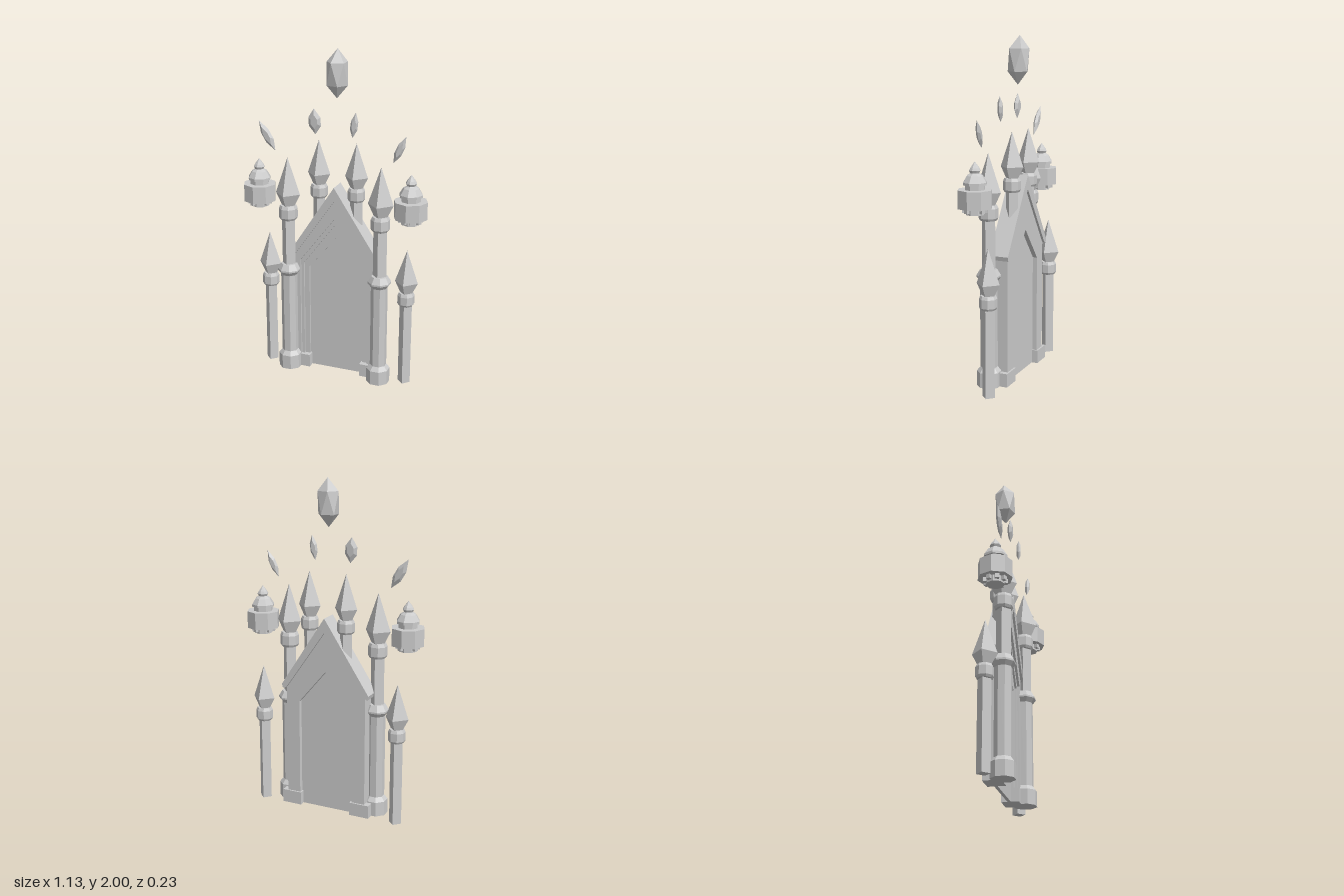
import * as THREE from 'three';
import { ConvexGeometry } from 'three/addons/geometries/ConvexGeometry.js';

const material = new THREE.MeshStandardMaterial({ color: 0xcccccc, flatShading: true });

function add(parent, name, geometry, x = 0, y = 0, z = 0) {
  const mesh = new THREE.Mesh(geometry, material);
  mesh.name = name;
  mesh.position.set(x, y, z);
  parent.add(mesh);
  return mesh;
}

// Faceted turned solid; profile is [radius, y] from bottom to top
function turned(profile, sides, flatsForward = false) {
  const k = flatsForward ? 1 / Math.cos(Math.PI / sides) : 1;
  const points = profile.map(([r, y]) => new THREE.Vector2(r * k, y));
  return new THREE.LatheGeometry(points, sides, flatsForward ? Math.PI / sides : 0);
}

function extrude(points, z0, z1) {
  const shape = new THREE.Shape(points.map(([x, y]) => new THREE.Vector2(x, y)));
  const geometry = new THREE.ExtrudeGeometry(shape, { depth: z1 - z0, bevelEnabled: false });
  return geometry.translate(0, 0, z0);
}

// Pointed arch outline from foot to foot: half width, spring height, apex height
const FLOOR = 0.01;
const arch = ([w, spring, apex]) => [[w, FLOOR], [w, spring], [0, apex], [-w, spring], [-w, FLOOR]];
const archRing = (outer, inner, z0, z1) => extrude([...arch(outer), ...arch(inner).reverse()], z0, z1);

// Square post with a beveled cap and a spear-like spike
function spikedPost(name, x, z, tip, bottom, k) {
  const post = new THREE.Group();
  post.name = name;
  post.position.set(x, 0, z);
  const at = (d) => tip - d * k;
  add(post, 'spike', turned([[0, at(0.265)], [0.038 * k, at(0.265)], [0.07 * k, at(0.2)], [0, tip]], 4));
  add(post, 'cap', turned([[0, at(0.345)], [0.04 * k, at(0.345)], [0.047 * k, at(0.332)],
    [0.047 * k, at(0.282)], [0.04 * k, at(0.265)], [0, at(0.265)]], 8, true));
  add(post, 'shaft', turned([[0, bottom], [0.038 * k, bottom], [0.038 * k, at(0.34)], [0, at(0.34)]], 4));
  return post;
}

// Floating octagonal lantern
function lantern(x) {
  const group = new THREE.Group();
  group.name = 'lantern';
  group.position.set(x, 0, 0.015);
  add(group, 'lanternBody', turned([[0, 1.08], [0.098, 1.08], [0.098, 1.182], [0, 1.182]], 8));
  add(group, 'lanternBottom', turned([[0, 1.045], [0.053, 1.045], [0.053, 1.085], [0, 1.085]], 8));
  for (let i = 0; i < 8; i++) {
    const a = (i + 0.5) * Math.PI / 4;
    const foot = add(group, 'lanternFoot', new THREE.BoxGeometry(0.024, 0.03, 0.022),
      Math.sin(a) * 0.058, 1.071, Math.cos(a) * 0.058);
    foot.rotation.y = a;
  }
  add(group, 'lanternRoof', turned([[0, 1.175], [0.057, 1.175], [0.057, 1.208], [0.068, 1.208], [0.068, 1.222],
    [0.046, 1.258], [0.03, 1.268], [0.026, 1.272], [0.033, 1.286], [0.026, 1.3], [0, 1.335]], 8));
  return group;
}

// Thin cut gem: rim outline with a smaller flat facet on both faces
function gem(w, h, d) {
  const rim = [[0, h], [w, 0.3 * h], [w, -0.35 * h], [0, -h], [-w, -0.35 * h], [-w, 0.3 * h]];
  const points = rim.map(([x, y]) => new THREE.Vector3(x, y, 0));
  for (const [x, y] of rim)
    for (const s of [-1, 1]) points.push(new THREE.Vector3(x * 0.55, y * 0.55, s * d));
  return new ConvexGeometry(points);
}

export function createModel() {
  const model = new THREE.Group();
  model.name = 'gothicGate';

  // Portal with stepped pointed arches around a recessed door
  const portal = new THREE.Group();
  portal.name = 'portal';
  portal.position.x = 0.004;
  model.add(portal);
  add(portal, 'gableRoof', extrude([[0, 1.205], [-0.281, 0.775], [-0.275, 0.75], [-0.25, 0.76],
    [0, 1.12], [0.25, 0.76], [0.275, 0.75], [0.281, 0.775]], -0.096, 0.018));
  const steps = [[0.255, 0.77, 1.13], [0.221, 0.72, 1.01], [0.203, 0.70, 0.97], [0.172, 0.675, 0.88]];
  const fronts = [0.004, -0.01, -0.022];
  fronts.forEach((z, i) => add(portal, 'archStep', archRing(steps[i], steps[i + 1], -0.082, z)));
  add(portal, 'door', extrude(arch([0.18, 0.682, 0.895]), -0.055, -0.036));

  for (const s of [-1, 1]) {
    add(portal, 'plinth', new THREE.BoxGeometry(0.122, 0.08, 0.102), s * 0.224, 0.05, -0.041);
    // Octagonal columns flanking the door, topped by a spiked post
    add(portal, 'column', turned([[0, 0.01], [0.065, 0.01], [0.065, 0.098], [0.046, 0.124], [0.046, 0.63],
      [0.064, 0.655], [0.064, 0.665], [0.045, 0.7], [0, 0.7]], 8, true), s * 0.287, 0, 0.02);
    portal.add(spikedPost('columnPost', s * 0.287, 0.02, 1.36, 0.68, 1.1));
    portal.add(spikedPost('roofPost', s * 0.116, -0.047, 1.465, 0.975, 1));
    model.add(spikedPost('outerPost', s * 0.436, -0.046, 0.855, 0, 1));
    model.add(lantern(s * 0.467));
  }

  // Large floating crystal: twisted five-sided rings between two tips
  const points = [new THREE.Vector3(0, 0.14, -0.008), new THREE.Vector3(0, -0.14, 0.004)];
  for (let i = 0; i < 10; i++) {
    const a = i * Math.PI / 5 + 0.35;
    points.push(new THREE.Vector3(Math.sin(a) * 0.062, i % 2 ? 0.065 : -0.065, Math.cos(a) * 0.062));
  }
  add(model, 'largeCrystal', new ConvexGeometry(points), 0.005, 1.86, -0.036);

  // Small floating gems: x, y, half width, half height, lean, turn
  const gems = [
    [-0.11, 1.59, 0.037, 0.075, 0.06, 0],
    [0.128, 1.588, 0.021, 0.075, -0.13, 0.15],
    [-0.408, 1.48, 0.027, 0.1, 0.54, 0],
    [0.397, 1.472, 0.021, 0.086, -0.42, 0.1],
  ];
  for (const [x, y, w, h, lean, turn] of gems) {
    const mesh = add(model, 'smallGem', gem(w, h, 0.013), x, y, 0.022);
    mesh.rotation.set(0, turn, lean);
  }
  return model;
}
